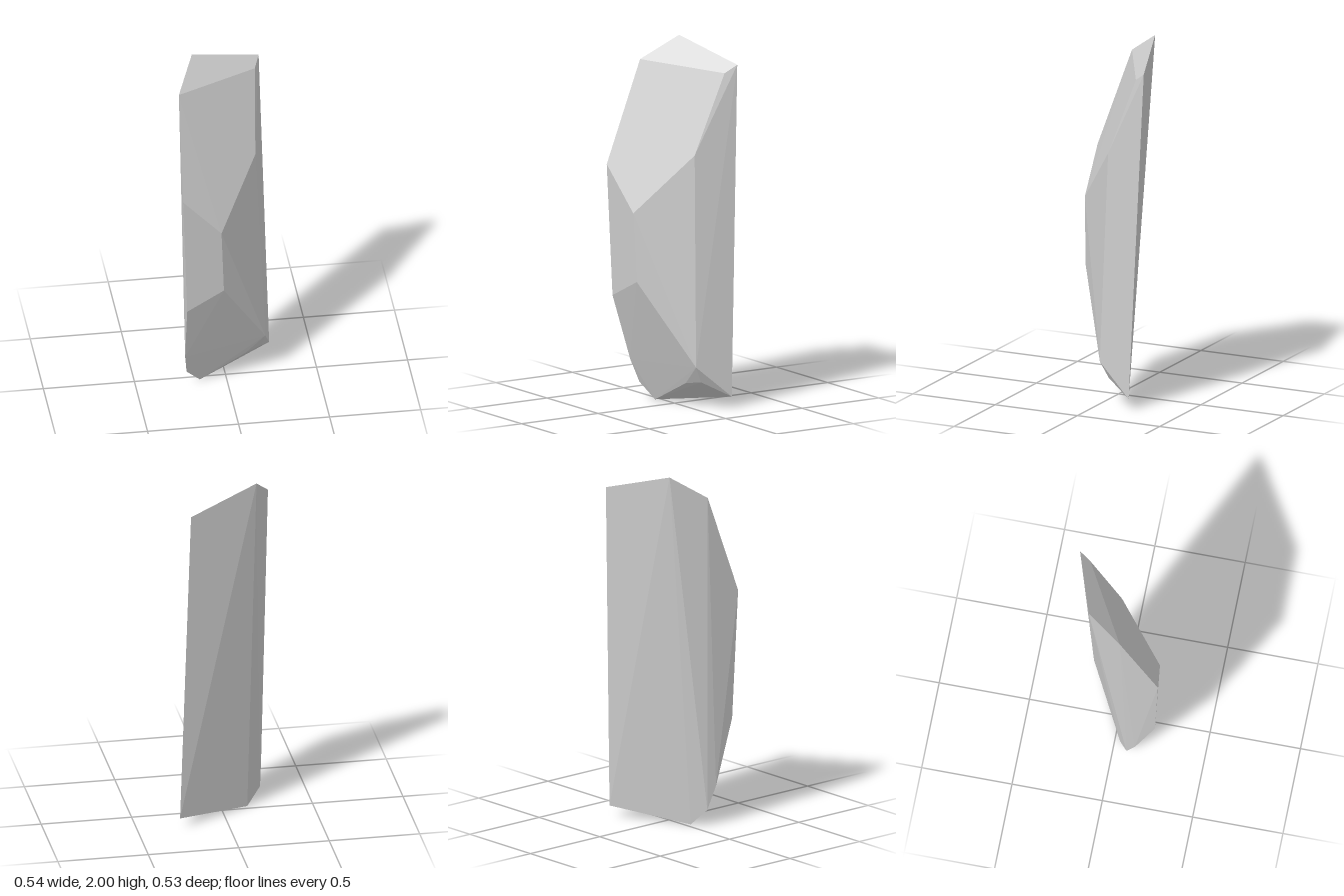
import * as THREE from 'three';
import { ConvexGeometry } from 'three/addons/geometries/ConvexGeometry.js';

// Tall faceted stone slab: the convex hull of its corners.
export function createModel() {
  const corners = [
    // peak and upper rim
    [-0.165, 2.0, -0.14], [-0.263, 1.87, 0.05], [0.22, 1.885, -0.263], [0.19, 1.84, -0.2],
    // chipped front bulge
    [-0.27, 1.31, 0.263], [0.167, 1.4, -0.02], [-0.055, 1.07, 0.233],
    [-0.04, 0.69, 0.22], [-0.245, 0.585, 0.242],
    // tapering foot
    [0.218, 0.235, 0.005], [-0.24, 0.22, 0.13], [-0.225, 0.09, 0.08],
    [0.11, 0.13, 0], [0.2, 0.145, -0.04], [0.268, 0.06, -0.195], [-0.145, 0, 0.03],
  ].map((p) => new THREE.Vector3(...p));

  const rock = new THREE.Mesh(
    new ConvexGeometry(corners),
    new THREE.MeshStandardMaterial({ color: 0xcccccc, flatShading: true }),
  );
  rock.name = 'rock';

  const group = new THREE.Group();
  group.name = 'standingStone';
  group.add(rock);
  return group;
}
